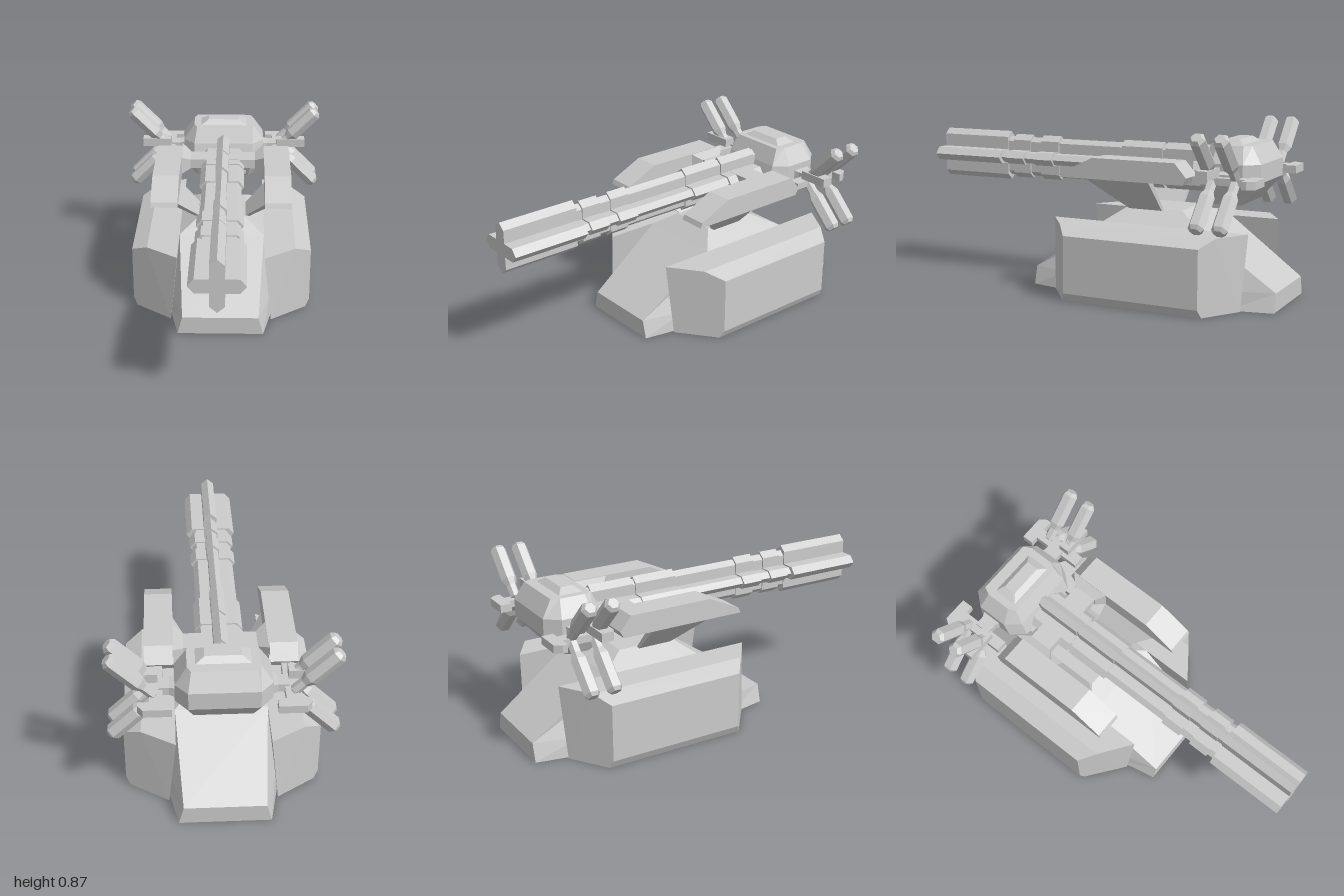
import * as THREE from 'three';

const mat = new THREE.MeshStandardMaterial({ color: 0xcccccc, flatShading: true });

function add(parent, name, geo) {
  const m = new THREE.Mesh(geo, mat);
  m.name = name;
  parent.add(m);
  return m;
}

// Closed solid through rings of [x, y, z] corners, turned to face outward
function loft(rings) {
  const n = rings[0].length, tris = [];
  for (let r = 0; r < rings.length - 1; r++) {
    for (let i = 0; i < n; i++) {
      const j = (i + 1) % n, a = rings[r], b = rings[r + 1];
      tris.push([a[i], a[j], b[j]], [a[i], b[j], b[i]]);
    }
  }
  const first = rings[0], last = rings[rings.length - 1];
  for (let i = 1; i < n - 1; i++) {
    tris.push([first[0], first[i + 1], first[i]], [last[0], last[i], last[i + 1]]);
  }
  const v = (p) => new THREE.Vector3(...p);
  let volume = 0;
  for (const [a, b, c] of tris) volume += v(a).dot(v(b).cross(v(c)));
  if (volume < 0) tris.forEach((t) => t.reverse());
  const geo = new THREE.BufferGeometry();
  geo.setAttribute('position', new THREE.Float32BufferAttribute(tris.flat(2), 3));
  geo.computeVertexNormals();
  return geo;
}

// Horizontal eight-cornered ring: end width, middle width, front z, back z, corner depth
function ring(y, we, wm, zf, zb, d) {
  const right = [[we, zf], [wm, zf - d], [wm, zb + d], [we, zb]];
  const left = right.map(([x, z]) => [-x, z]).reverse();
  return [...right, ...left].map(([x, z]) => [x, y, z]);
}

// Upright rectangle in the x direction
const rectX = (x, y0, y1, z0, z1) => [[x, y0, z0], [x, y1, z0], [x, y1, z1], [x, y0, z1]];

// Cross-shaped bar with pointed arms, running along z
function crossBar(reach, half, z0, z1) {
  const pts = [];
  for (let k = 0; k < 4; k++) {
    const c = Math.round(Math.cos(k * Math.PI / 2)), s = Math.round(Math.sin(k * Math.PI / 2));
    for (const [x, y] of [[half, -half], [reach - half * 0.85, -half], [reach, 0], [reach - half * 0.85, half]]) {
      pts.push(new THREE.Vector2(x * c - y * s, x * s + y * c));
    }
  }
  return new THREE.ExtrudeGeometry(new THREE.Shape(pts), { depth: z1 - z0, bevelEnabled: false })
    .translate(0, 0.645, z0);
}

function sidePod(s) {
  const section = [[0.265, 0], [0.455, 0], [0.475, 0.04], [0.475, 0.33], [0.39, 0.372], [0.226, 0.372]];
  // Ends slant back toward the outer side
  const slant = (x) => Math.max(0, (x - 0.235) / 0.24);
  const front = section.map(([x, y]) => [s * x, y, 0.19 - 0.185 * slant(x)]);
  const back = section.map(([x, y]) => [s * x, y, -0.865 + 0.155 * slant(x)]);
  return loft([front, back]);
}

function blade(s) {
  const profile = [[0.08, 0.605], [0.07, 0.63], [-0.1, 0.71], [-0.54, 0.71], [-0.6, 0.64], [-0.58, 0.605]];
  return loft([0.225, 0.365].map((x) => profile.map(([z, y]) => [s * x, y, z])));
}

function thrusterCluster(s) {
  const g = new THREE.Group();
  g.name = s > 0 ? 'leftThrusters' : 'rightThrusters';
  add(g, 'hubArm', loft([rectX(s * 0.15, 0.6, 0.68, -0.84, -0.68), rectX(s * 0.25, 0.62, 0.66, -0.8, -0.72),
    rectX(s * 0.3, 0.62, 0.66, -0.8, -0.72)]));
  add(g, 'rearBracket', loft([rectX(s * 0.24, 0.61, 0.65, -0.945, -0.885), rectX(s * 0.37, 0.61, 0.65, -0.945, -0.885),
    rectX(s * 0.395, 0.61, 0.65, -0.91, -0.885)]));
  add(g, 'bracketStem', new THREE.BoxGeometry(0.06, 0.035, 0.3)).position.set(s * 0.31, 0.632, -0.77);
  add(g, 'crossRod', new THREE.BoxGeometry(0.16, 0.045, 0.06)).position.set(s * 0.383, 0.672, -0.715);
  // Hexagonal nozzle on a thin neck, base at the hub
  const points = [[0, 0], [0.026, 0.015], [0.026, 0.08], [0.041, 0.115], [0.041, 0.288], [0.027, 0.306], [0, 0.306]]
    .map(([r, h]) => new THREE.Vector2(r, h));
  for (const z of [-0.715, -0.83]) {
    for (const up of [1, -1]) {
      const pod = add(g, 'nozzle', new THREE.LatheGeometry(points, 6));
      pod.position.set(s * 0.31, 0.64, z);
      pod.rotation.z = -s * (up > 0 ? Math.PI / 4 : 3 * Math.PI / 4);
    }
  }
  return g;
}

export function createModel() {
  const model = new THREE.Group();
  model.name = 'turretVehicle';

  // Base
  add(model, 'hull', loft([
    ring(0, 0.222, 0.267, 0.318, -1, 0.22),
    ring(0.093, 0.197, 0.255, 0.318, -1, 0.22),
    ring(0.372, 0.226, 0.228, -0.09, -0.61, 0.1),
    ring(0.44, 0.125, 0.126, -0.18, -0.48, 0.05),
  ]));

  // Cross-section gun with collars
  const gun = new THREE.Group();
  gun.name = 'gun';
  model.add(gun);
  add(gun, 'barrel', crossBar(0.105, 0.028, -0.6, 0.6));
  add(gun, 'muzzle', crossBar(0.132, 0.035, 0.59, 1));
  for (const [z0, z1] of [[0.45, 0.555], [0.275, 0.385], [-0.33, -0.1], [-0.58, -0.345]]) {
    add(gun, 'collar', crossBar(0.118, 0.034, z0, z1));
  }

  // Head behind the gun
  const head = new THREE.Group();
  head.name = 'head';
  model.add(head);
  add(head, 'headShell', loft([
    ring(0.495, 0.14, 0.168, -0.63, -0.8, 0.04),
    ring(0.61, 0.165, 0.225, -0.575, -0.9, 0.07),
    ring(0.7, 0.165, 0.225, -0.6, -0.9, 0.07),
    ring(0.785, 0.15, 0.168, -0.64, -0.85, 0.04),
  ]));
  add(head, 'topPanel', loft([
    ring(0.78, 0.135, 0.137, -0.665, -0.8, 0.01),
    ring(0.81, 0.085, 0.087, -0.7, -0.765, 0.01),
  ]));
  add(head, 'chinLip', loft([
    ring(0.58, 0.105, 0.11, -0.565, -0.7, 0.02),
    ring(0.61, 0.138, 0.14, -0.56, -0.7, 0.02),
  ]));
  add(head, 'chinSlat', new THREE.BoxGeometry(0.26, 0.02, 0.06)).position.set(0, 0.525, -0.635);

  // Axle carrying the gun between the blades
  add(model, 'axle', new THREE.BoxGeometry(0.37, 0.05, 0.12)).position.set(0, 0.655, -0.465);

  // Mirrored side parts
  for (const s of [1, -1]) {
    const side = s > 0 ? 'left' : 'right';
    add(model, side + 'SidePod', sidePod(s));
    add(model, side + 'Blade', blade(s));
    add(model, side + 'AxleFlange', loft([
      rectX(s * 0.178, 0.63, 0.68, -0.53, -0.4),
      rectX(s * 0.23, 0.608, 0.71, -0.58, -0.36),
    ]));
    add(model, side + 'Strut', loft([
      [[s * 0.125, 0.435, -0.2], [s * 0.15, 0.435, -0.2], [s * 0.15, 0.435, -0.38], [s * 0.125, 0.435, -0.38]],
      [[s * 0.275, 0.61, -0.02], [s * 0.325, 0.61, -0.02], [s * 0.325, 0.61, -0.38], [s * 0.275, 0.61, -0.38]],
    ]));
    model.add(thrusterCluster(s));
  }
  return model;
}
